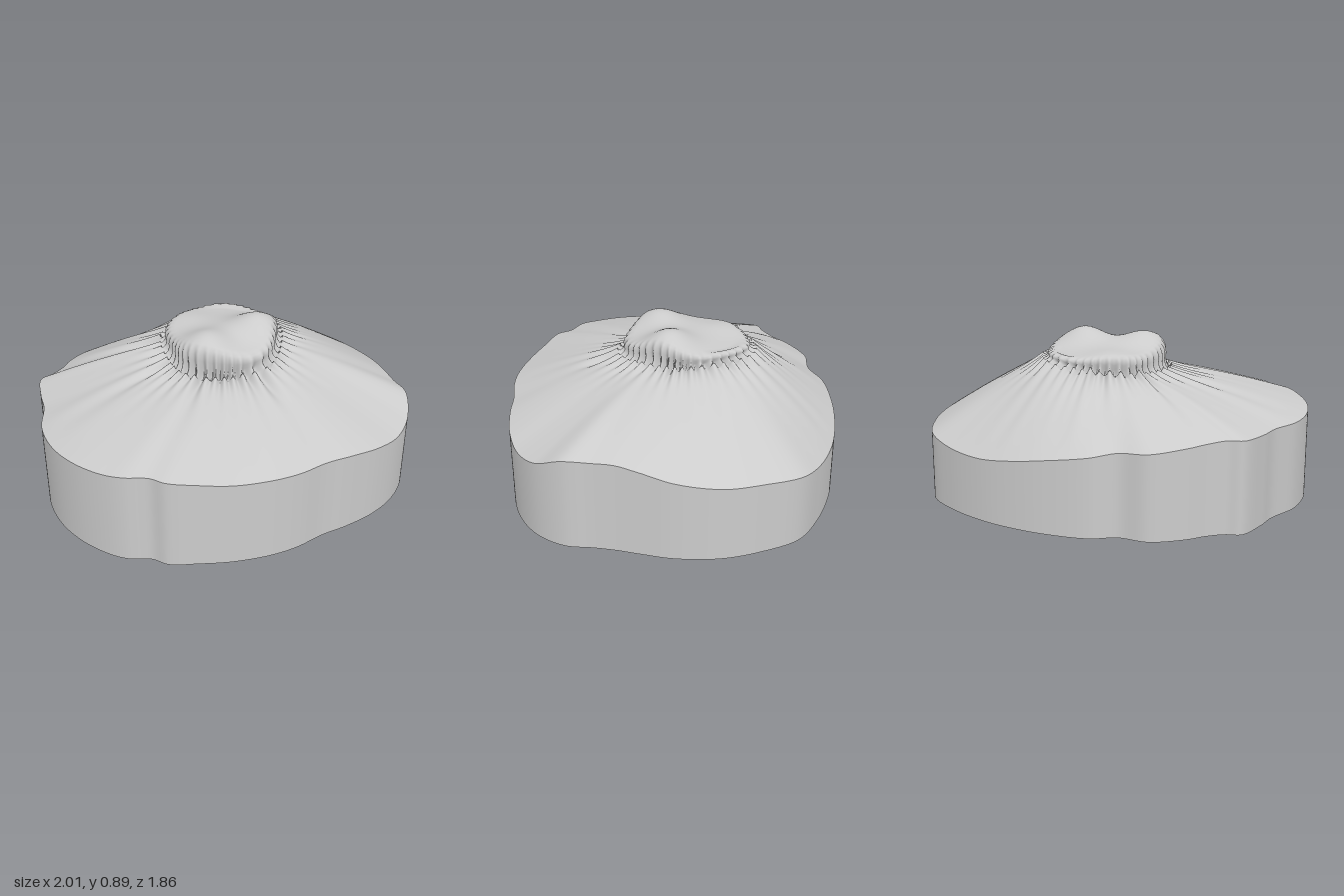
import * as THREE from 'three';

const SEG = 480;
const CENTRE = new THREE.Vector2(0.02, -0.08);
const { lerp, smoothstep } = THREE.MathUtils;

// rim of the base: x, height, z, running from the left side round the front
const RIM = [
  [0.96, 0.49, 0], [0.975, 0.49, 0.12], [1, 0.49, 0.26], [0.96, 0.43, 0.42], [0.86, 0.41, 0.56],
  [0.72, 0.43, 0.67], [0.55, 0.455, 0.75], [0.4, 0.465, 0.8], [0.25, 0.47, 0.87], [0.1, 0.475, 0.91],
  [-0.1, 0.48, 0.925], [-0.28, 0.495, 0.91], [-0.42, 0.51, 0.89], [-0.5, 0.51, 0.835], [-0.62, 0.51, 0.81],
  [-0.72, 0.5, 0.75], [-0.85, 0.49, 0.62], [-0.95, 0.48, 0.45], [-1, 0.475, 0.25], [-0.985, 0.475, 0.05],
  [-1, 0.475, -0.08], [-0.995, 0.48, -0.25], [-0.93, 0.48, -0.3], [-0.87, 0.47, -0.38], [-0.82, 0.46, -0.48],
  [-0.7, 0.44, -0.62], [-0.55, 0.43, -0.67], [-0.45, 0.41, -0.77], [-0.25, 0.38, -0.86], [-0.05, 0.35, -0.91],
  [0.15, 0.33, -0.93], [0.4, 0.34, -0.91], [0.6, 0.37, -0.85], [0.75, 0.39, -0.7], [0.87, 0.4, -0.52],
  [0.94, 0.43, -0.3], [0.955, 0.47, -0.12],
];

// joins closed rings of points, listed from the outside up and inwards
function loft(name, rings, smooth = true) {
  const pos = rings.flat().flatMap((p) => [p.x, p.y, p.z]);
  const index = [];
  for (let i = 0; i < rings.length - 1; i++) {
    for (let j = 0; j < SEG; j++) {
      const k = (j + 1) % SEG;
      const a = i * SEG + j, b = i * SEG + k, c = a + SEG, d = b + SEG;
      index.push(a, c, b, b, c, d);
    }
  }
  const g = new THREE.BufferGeometry();
  g.setAttribute('position', new THREE.Float32BufferAttribute(pos, 3));
  g.setIndex(index);
  g.computeVertexNormals();
  const mesh = new THREE.Mesh(g, new THREE.MeshStandardMaterial({ color: 0xcccccc, flatShading: !smooth }));
  mesh.name = name;
  return mesh;
}

const bump = (x, z, cx, cz, r) => Math.exp(-((x - cx) ** 2 + (z - cz) ** 2) / (r * r));

// lumpy upper surface of the crown
const crownHeight = (x, z) => 0.785 + 0.085 * bump(x, z, -0.1, 0.12, 0.15)
  + 0.1 * bump(x, z, 0.22, -0.04, 0.15) + 0.03 * bump(x, z, 0, -0.08, 0.2)
  + 0.02 * bump(x, z, -0.15, -0.25, 0.12);

// outline of the crown around its centre
const crownRadius = (a) => 0.325 + 0.018 * Math.cos(2 * a + Math.PI) + 0.008 * Math.cos(5 * a + 1);

// uneven folds around the crown
const folds = (a) => Math.sin(42 * a + 1.6 * Math.sin(3 * a) + 1.1 * Math.sin(7 * a + 1));
const longFolds = (a) => Math.sin(23 * a + 2 * Math.sin(4 * a)) * (0.5 + 0.5 * Math.sin(9 * a + 2));

export function createModel() {
  const group = new THREE.Group();
  group.name = 'mound';

  const curve = new THREE.CatmullRomCurve3(RIM.map((p) => new THREE.Vector3(...p)), true, 'centripetal');
  const rim = Array.from({ length: SEG }, (_, j) => curve.getPoint(j / SEG));
  const angles = rim.map((p) => Math.atan2(p.z - CENTRE.y, p.x - CENTRE.x));
  const around = (fn) => rim.map((p, j) => fn(p, angles[j]));
  const polar = (a, r, y) => new THREE.Vector3(CENTRE.x + r * Math.cos(a), y, CENTRE.y + r * Math.sin(a));

  // side wall
  const wall = [0, 0.33, 0.66, 1].map((t) => around((p) => new THREE.Vector3(p.x, p.y * t, p.z)));
  group.add(loft('sideWall', wall));

  // flat underside
  const floor = [0, 1].map((t) => around((p) => new THREE.Vector3(p.x * t, 0, p.z * t)));
  group.add(loft('underside', floor, false));

  // height where the slope meets the crown, higher to the back and left
  const collarY = (a) => 0.72 + 0.025 * Math.cos(a) - 0.025 * Math.sin(a);

  // wrinkled slope
  const top = [];
  const N = 30;
  for (let i = 0; i <= N; i++) {
    const s = 1 - (1 - i / N) ** 1.5;
    top.push(around((p, a) => {
      const outer = Math.hypot(p.x - CENTRE.x, p.z - CENTRE.y);
      const inner = crownRadius(a) * 1.1;
      const r = lerp(outer, inner, s);
      const d = r - inner;
      const side = 0.5 - 0.5 * Math.cos(a);
      const fade = smoothstep(s, 0, 0.25);
      let y = lerp(p.y, collarY(a), s) + 0.012 * Math.sin(Math.PI * s);
      y += fade * 0.017 * folds(a) * Math.exp(-d / (0.06 + 0.04 * side));
      y += fade * (0.006 + 0.01 * side) * longFolds(a) * Math.exp(-d / (0.12 + 0.25 * side));
      // broad gully in the front left
      y -= 0.025 * Math.exp(-(((a - 1.18) / 0.07) ** 2)) * Math.exp(-(((d - 0.06) / 0.12) ** 2));
      return polar(a, r, y);
    }));
  }

  // pitted collar under a slight overhang: radius factor, height share, fold depth
  const COLLAR = [
    [1.06, -0.06, 0.018], [1.01, -0.1, 0.022], [0.97, 0.04, 0.022], [0.965, 0.25, 0.016],
    [0.985, 0.5, 0.01], [0.98, 0.72, 0.006], [0.95, 0.88, 0.002],
  ];
  for (const [f, h, depth] of COLLAR) {
    top.push(around((p, a) => {
      const r = crownRadius(a) * f + depth * 0.8 * folds(a);
      const edge = polar(a, crownRadius(a) * 0.9, 0);
      const lip = Math.max(crownHeight(edge.x, edge.z), collarY(a) + 0.05);
      return polar(a, r, lerp(collarY(a), lip, h) + depth * 0.7 * folds(a));
    }));
  }

  // crown top
  for (let i = 0; i <= 12; i++) {
    const f = 0.9 * (1 - i / 12);
    top.push(around((p, a) => {
      const q = polar(a, crownRadius(a) * f, 0);
      q.y = Math.max(crownHeight(q.x, q.z), lerp(0, collarY(a) + 0.05, smoothstep(f, 0.3, 0.9)));
      return q;
    }));
  }
  group.add(loft('slopeAndCrown', top));

  return group;
}
